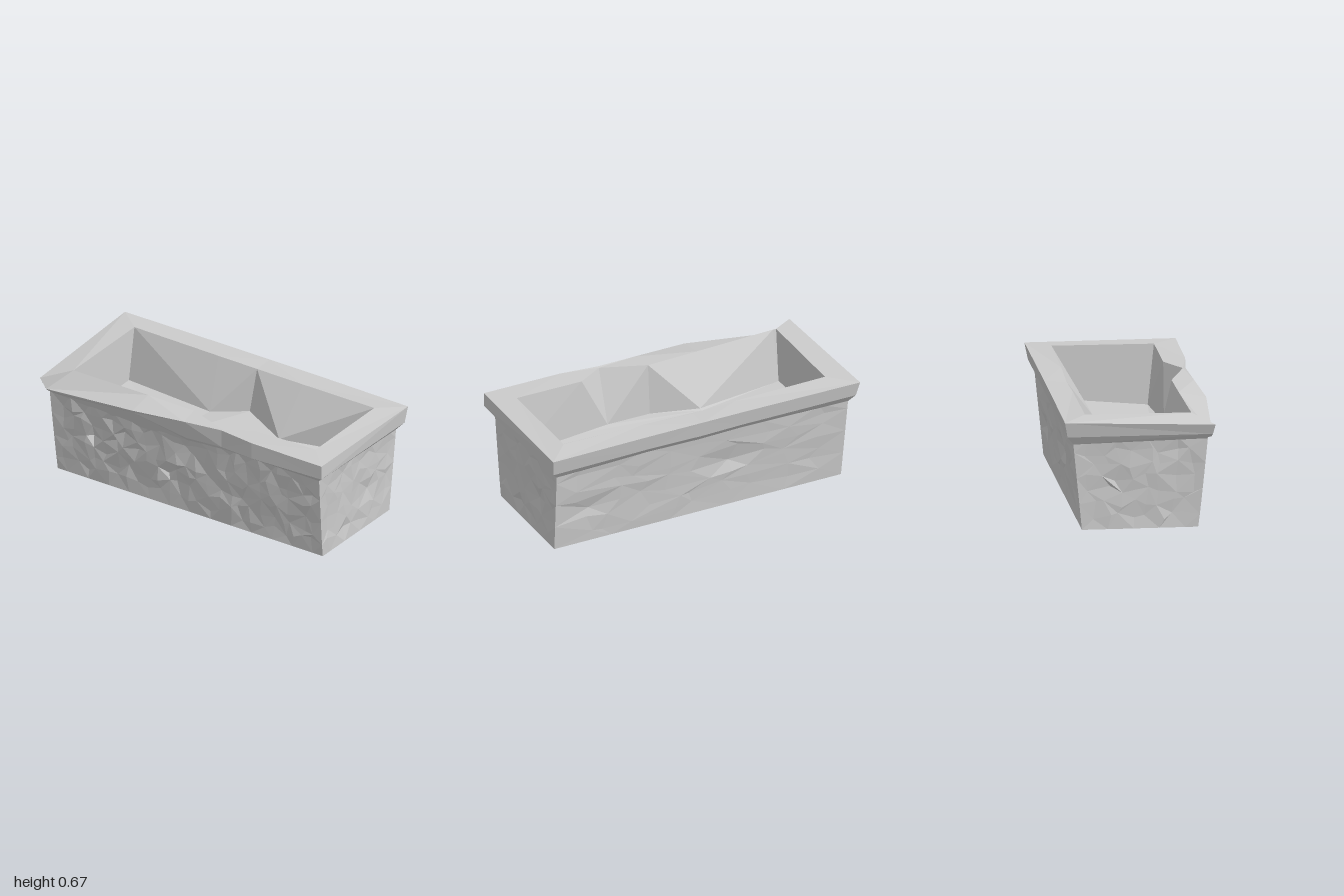
import * as THREE from 'three';

const material = new THREE.MeshStandardMaterial({ color: 0xcccccc, flatShading: true, side: THREE.DoubleSide });

function makeRandom(seed) {
  return () => {
    seed = (seed * 16807) % 2147483647;
    return seed / 2147483647;
  };
}

// Faceted skin through closed rings of points, listed from the outside bottom upwards.
// startCap / endCap are optional centre points that close the first / last ring.
function loft(rings, startCap, endCap) {
  const out = [];
  const tri = (...pts) => pts.forEach((p) => out.push(...p));
  const n = rings[0].length;
  const last = rings[rings.length - 1];
  for (let i = 0; i < n; i++) {
    const j = (i + 1) % n;
    for (let r = 0; r < rings.length - 1; r++) {
      const a = rings[r][i], b = rings[r][j], c = rings[r + 1][j], d = rings[r + 1][i];
      if ((i + r) % 2) { tri(a, b, c); tri(a, c, d); } else { tri(a, b, d); tri(b, c, d); }
    }
    if (startCap) tri(rings[0][j], rings[0][i], startCap);
    if (endCap) tri(last[i], last[j], endCap);
  }
  const geometry = new THREE.BufferGeometry();
  geometry.setAttribute('position', new THREE.Float32BufferAttribute(out, 3));
  geometry.computeVertexNormals();
  return geometry;
}

function addPart(group, name, geometry) {
  const mesh = new THREE.Mesh(geometry, material);
  mesh.name = name;
  group.add(mesh);
}

// Chipped stone walls, tapering towards the base
function bodyGeometry() {
  const random = makeRandom(4711);
  const jitter = (size) => (random() - 0.5) * 2 * size;
  const rows = 7, height = 0.54;
  // sides in order front, +x end, back, -x end: outward normal, segments, roughness
  const sides = [
    { normal: [0, 1], count: 26, rough: 0.01 },
    { normal: [1, 0], count: 9, rough: 0.006 },
    { normal: [0, -1], count: 10, rough: 0.004 },
    { normal: [-1, 0], count: 9, rough: 0.006 },
  ];
  // deeper notches: side, position along it (0 to 1), height, depth
  const notches = [
    [0, 0.51, 0.42, 0.035], [0, 0.38, 0.44, 0.035], [0, 0.42, 0.2, 0.03], [0, 0.75, 0.4, 0.025],
    [0, 0.14, 0.3, 0.025], [0, 0.7, 0.25, 0.02], [1, 0.33, 0.42, 0.02], [1, 0.62, 0.26, 0.025],
    [1, 0.3, 0.1, 0.02], [2, 0.1, 0.25, 0.04], [2, 0.6, 0.3, 0.025], [3, 0.3, 0.3, 0.02],
  ];
  const rings = [];
  for (let r = 0; r <= rows; r++) {
    const t = r / rows;
    const x0 = -0.93 - 0.02 * t, x1 = 0.935 + 0.012 * t;
    const front = 0.33 + 0.055 * Math.pow(t, 0.9), back = -0.348 - 0.055 * t;
    const corners = [[x0, front], [x1, front], [x1, back], [x0, back]];
    const ring = [];
    sides.forEach(({ normal, count, rough }, s) => {
      const [ax, az] = corners[s], [bx, bz] = corners[(s + 1) % 4];
      const length = Math.hypot(bx - ax, bz - az);
      for (let i = 0; i < count; i++) {
        const inner = r > 0 && r < rows && i > 0;
        const u = (i + (inner ? jitter(0.38) : 0)) / count;
        const y = t * height + (inner ? jitter(0.028) : 0);
        let push = inner ? jitter(rough) - rough * 0.6 : 0;
        if (inner) for (const [side, nu, ny, depth] of notches) {
          const d = Math.hypot((u - nu) * length, y - ny);
          if (side === s) push -= depth * Math.max(0, 1 - d / 0.08);
        }
        ring.push([ax + (bx - ax) * u + normal[0] * push, y, az + (bz - az) * u + normal[1] * push]);
      }
    });
    rings.push(ring);
  }
  return loft(rings, [0, 0.005, 0]);
}

// Rings: seven points along the front from -x to +x, then five along the back from +x to -x
const underside = [
  [-0.95, 0.53, 0.38], [-0.9, 0.52, 0.38], [-0.32, 0.48, 0.372], [0.02, 0.5, 0.375], [0.27, 0.525, 0.385], [0.5, 0.525, 0.385], [0.945, 0.525, 0.385],
  [0.945, 0.51, -0.398], [0.35, 0.525, -0.4], [0.02, 0.52, -0.4], [-0.25, 0.525, -0.4], [-0.95, 0.515, -0.4],
];
const outerLow = [
  [-0.97, 0.56, 0.405], [-0.945, 0.54, 0.405], [-0.32, 0.605, 0.44], [0.02, 0.525, 0.395], [0.27, 0.545, 0.4], [0.5, 0.555, 0.428], [0.995, 0.57, 0.43],
  [0.985, 0.555, -0.432], [0.35, 0.565, -0.435], [0.02, 0.56, -0.435], [-0.25, 0.565, -0.435], [-0.98, 0.565, -0.438],
];
const outerHigh = [
  [-0.99, 0.62, 0.425], [-0.955, 0.552, 0.412], [-0.32, 0.623, 0.45], [0.02, 0.643, 0.42], [0.27, 0.655, 0.4], [0.5, 0.655, 0.427], [0.995, 0.655, 0.43],
  [0.995, 0.655, -0.452], [0.35, 0.66, -0.453], [0.02, 0.66, -0.453], [-0.25, 0.66, -0.453], [-1, 0.655, -0.455],
];
const innerTop = [
  [-0.84, 0.66, 0.3], [-0.82, 0.66, 0.3], [-0.32, 0.655, 0.29], [0, 0.65, 0.287], [0.27, 0.653, 0.385], [0.43, 0.655, 0.29], [0.855, 0.66, 0.287],
  [0.855, 0.665, -0.31], [0.35, 0.66, -0.315], [0.02, 0.655, -0.325], [-0.25, 0.66, -0.32], [-0.84, 0.665, -0.32],
];
const floorEdge = [
  [-0.83, 0.34, 0.25], [-0.8, 0.34, 0.24], [-0.28, 0.345, 0.17], [0, 0.335, 0.265], [0.27, 0.33, 0.275], [0.44, 0.32, 0.27], [0.85, 0.3, 0.25],
  [0.85, 0.35, -0.3], [0.31, 0.37, -0.13], [0, 0.39, -0.28], [-0.22, 0.36, -0.19], [-0.83, 0.35, -0.25],
];

export function createModel() {
  const group = new THREE.Group();
  group.name = 'stoneTrough';
  addPart(group, 'body', bodyGeometry());
  // Overhanging rim, worn down along the front
  addPart(group, 'rim', loft([underside, outerLow, outerHigh, innerTop]));
  // Hollow with sloping walls and an uneven floor
  addPart(group, 'basin', loft([innerTop, floorEdge], null, [-0.28, 0.34, 0.15]));
  return group;
}
